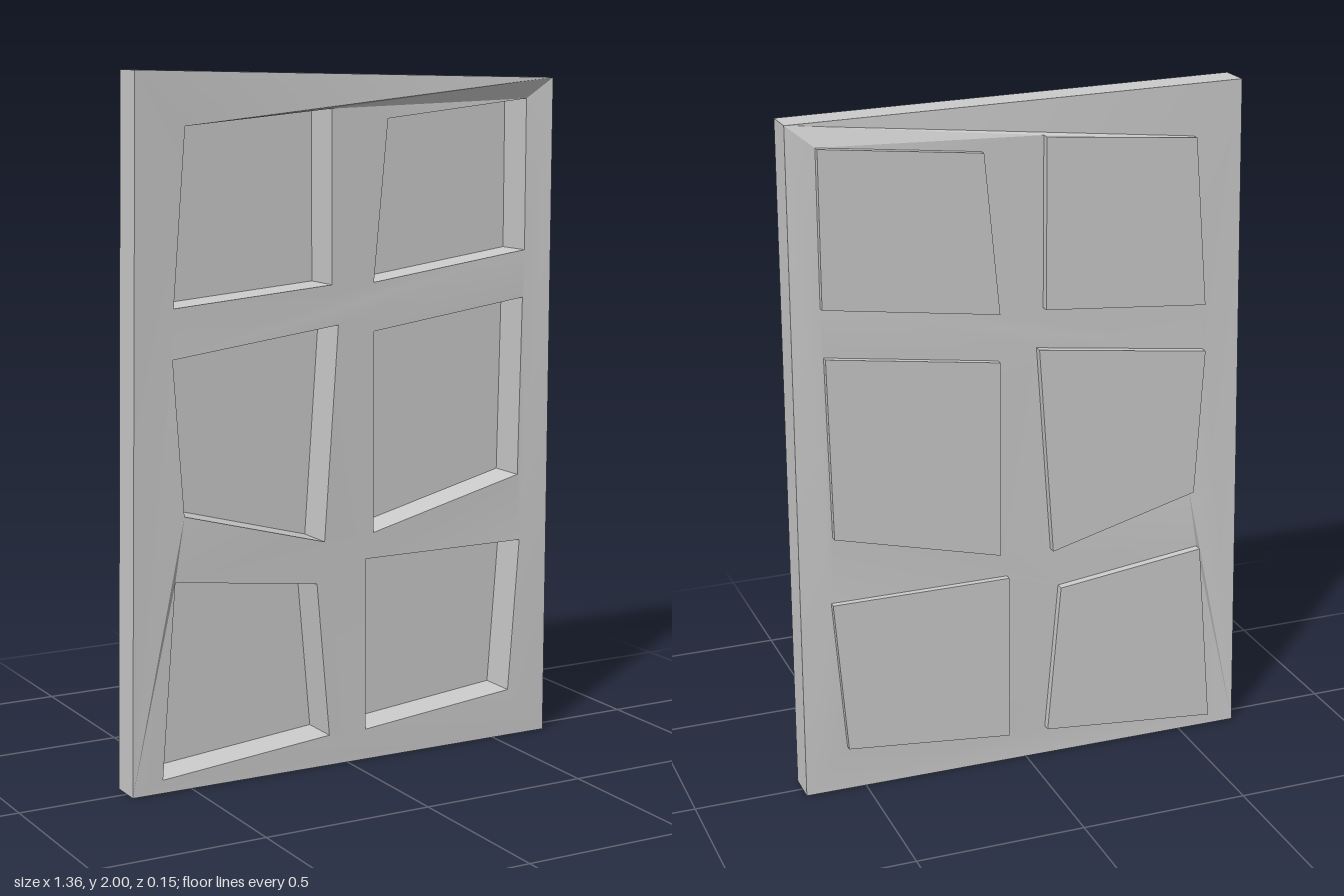
import * as THREE from 'three';
import { toCreasedNormals } from 'three/addons/utils/BufferGeometryUtils.js';

const HALF = 0.048; // half the panel thickness

// Outline corners: x, y, forward shift of the warped panel
const OUTLINE = [[-0.68, 0, -0.007], [0.68, 0, 0.005], [0.67, 1.97, 0.024], [-0.645, 2, 0]];

// Recess corners, counter-clockwise from lower left
const RECESSES = [
  [[-0.54, 1.36], [-0.05, 1.40], [-0.05, 1.89], [-0.50, 1.85]],
  [[0.085, 1.40], [0.595, 1.47], [0.595, 1.91], [0.13, 1.86]],
  [[-0.52, 0.785], [-0.075, 0.665], [-0.03, 1.285], [-0.545, 1.22]],
  [[0.085, 0.675], [0.58, 0.80], [0.59, 1.33], [0.085, 1.26]],
  [[-0.59, 0.04], [-0.06, 0.09], [-0.10, 0.545], [-0.545, 0.60]],
  [[0.06, 0.09], [0.555, 0.14], [0.59, 0.60], [0.06, 0.60]],
];

// Forward shift at any corner: outline corners are twisted, one recess corner bulges
function shift(x, y) {
  const corner = OUTLINE.find(c => Math.hypot(c[0] - x, c[1] - y) < 0.005);
  if (corner) return corner[2];
  return -0.001 + 0.011 * Math.exp(-((x + 0.52) ** 2 + (y - 0.785) ** 2) / 0.01);
}

const points = list => list.map(([x, y]) => new THREE.Vector2(x, y));

function buildPanel(material) {
  const shape = new THREE.Shape(points(OUTLINE));
  for (const r of RECESSES) shape.holes.push(new THREE.Path(points(r)));
  const geo = new THREE.ExtrudeGeometry(shape, { depth: 2 * HALF, bevelEnabled: false });
  const p = geo.attributes.position;
  for (let i = 0; i < p.count; i++) {
    p.setZ(i, p.getZ(i) - HALF + shift(p.getX(i), p.getY(i)));
  }
  const mesh = new THREE.Mesh(toCreasedNormals(geo, 0.35), material);
  mesh.name = 'warpedPanel';
  return mesh;
}

// Thin open tray closing a recess and standing out behind the panel
function buildTray(corners, material) {
  const v = [];
  const rim = ([x, y]) => [x, y, shift(x, y) - HALF];
  const floor = ([x, y]) => [x, y, x < 0 ? -0.073 : -0.068];
  const quad = (a, b, c, d) => v.push(...a, ...b, ...c, ...a, ...c, ...d);
  corners.forEach((a, i) => {
    const b = corners[(i + 1) % 4];
    quad(floor(a), floor(b), rim(b), rim(a));
  });
  const [a, b, c, d] = corners.map(floor);
  quad(a, d, c, b);
  const geo = new THREE.BufferGeometry();
  geo.setAttribute('position', new THREE.Float32BufferAttribute(v, 3));
  geo.computeVertexNormals();
  return new THREE.Mesh(geo, material);
}

export function createModel() {
  const group = new THREE.Group();
  group.name = 'sixPanelDoor';
  const solid = new THREE.MeshStandardMaterial({ color: 0xcccccc });
  const thin = new THREE.MeshStandardMaterial({ color: 0xcccccc, side: THREE.DoubleSide });
  group.add(buildPanel(solid));
  RECESSES.forEach((corners, i) => {
    const tray = buildTray(corners, thin);
    tray.name = `recessTray${i + 1}`;
    group.add(tray);
  });
  return group;
}
